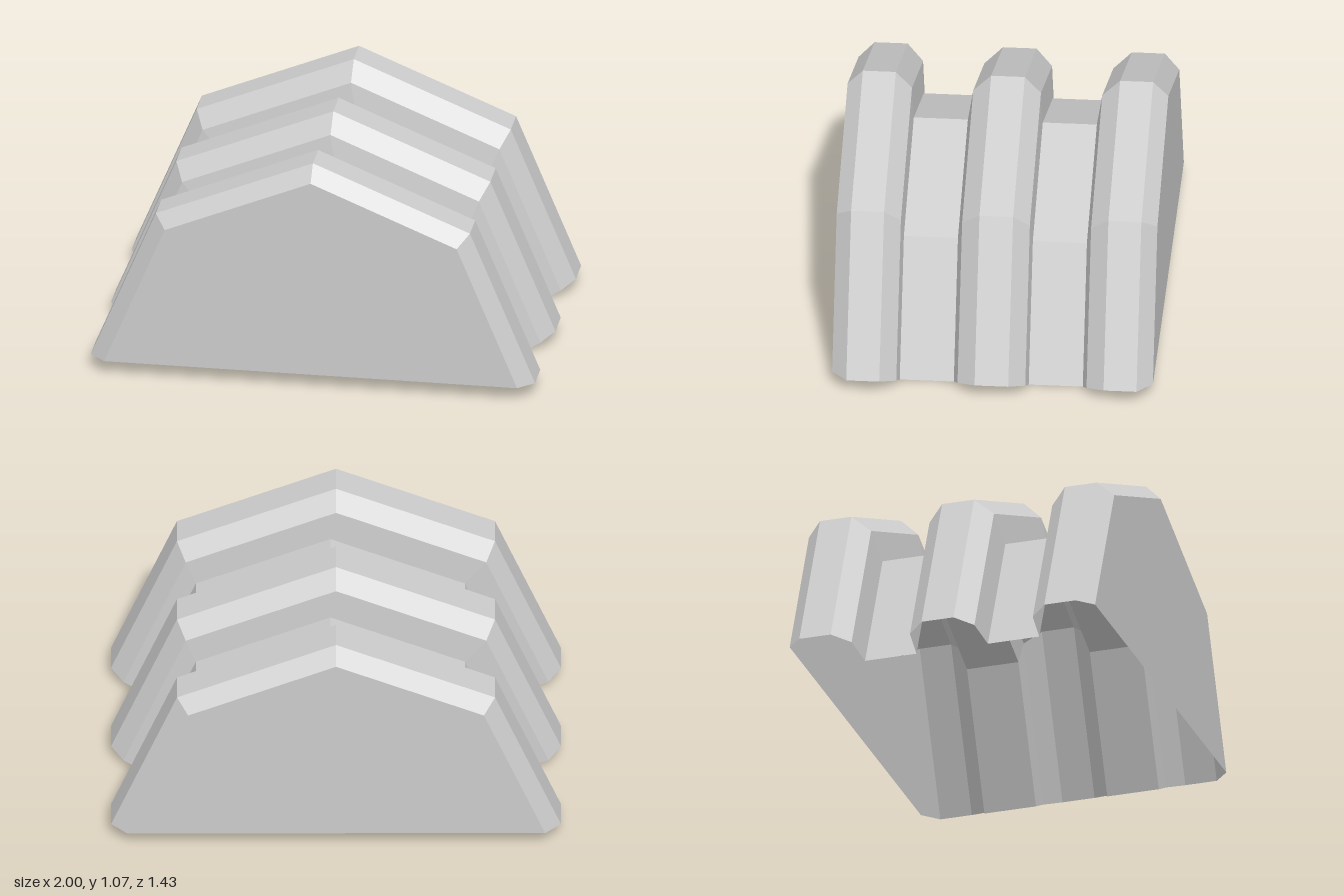
import * as THREE from 'three';

const material = new THREE.MeshStandardMaterial({
  color: 0xcccccc, flatShading: true, side: THREE.DoubleSide,
});

// Half-octagon arch, running from +x over the top to -x
function arch({ r, cx = 0, cy }) {
  return Array.from({ length: 5 }, (_, i) => {
    const a = (i * Math.PI) / 4;
    return new THREE.Vector2(cx + r * Math.cos(a), cy + r * Math.sin(a));
  });
}

const CREST = { r: 1, cy: 0.065 };
const END = { r: 0.93, cy: 0.065 };
const SHOULDER = { r: 0.945, cy: 0.04 };
const GROOVE = { r: 0.846, cx: 0.025, cy: 0 };

// Open shell through a list of [z, arch] sections, ordered from +z to -z
function shell(name, sections) {
  const rows = sections.map(([z, a]) => arch(a).map((p) => [p.x, p.y, z]));
  const pos = [];
  for (let s = 0; s < rows.length - 1; s++) {
    for (let j = 0; j < 4; j++) {
      const a = rows[s][j], b = rows[s][j + 1];
      const c = rows[s + 1][j], d = rows[s + 1][j + 1];
      pos.push(...a, ...c, ...b, ...b, ...c, ...d);
    }
  }
  const geo = new THREE.BufferGeometry();
  geo.setAttribute('position', new THREE.Float32BufferAttribute(pos, 3));
  geo.computeVertexNormals();
  const mesh = new THREE.Mesh(geo, material);
  mesh.name = name;
  return mesh;
}

export function createModel() {
  const group = new THREE.Group();
  group.name = 'ribbedArch';

  // Raised ribs with bevelled flanks
  group.add(
    shell('frontRib', [[0.715, END], [0.647, CREST], [0.5, CREST], [0.428, SHOULDER], [0.418, GROOVE]]),
    shell('middleRib', [[0.177, GROOVE], [0.155, SHOULDER], [0.075, CREST], [-0.075, CREST],
      [-0.147, SHOULDER], [-0.157, GROOVE]]),
    shell('backRib', [[-0.398, GROOVE], [-0.42, SHOULDER], [-0.5, CREST], [-0.647, CREST], [-0.715, END]]),
  );

  // Sunken grooves between the ribs
  group.add(
    shell('frontGroove', [[0.418, GROOVE], [0.177, GROOVE]]),
    shell('backGroove', [[-0.157, GROOVE], [-0.398, GROOVE]]),
  );

  // Flat end walls; the underside stays open
  for (const [name, side] of [['frontWall', 1], ['backWall', -1]]) {
    const wall = new THREE.Mesh(new THREE.ShapeGeometry(new THREE.Shape(arch(END))), material);
    wall.name = name;
    wall.position.z = side * 0.715;
    if (side < 0) wall.rotation.y = Math.PI;
    group.add(wall);
  }
  return group;
}
